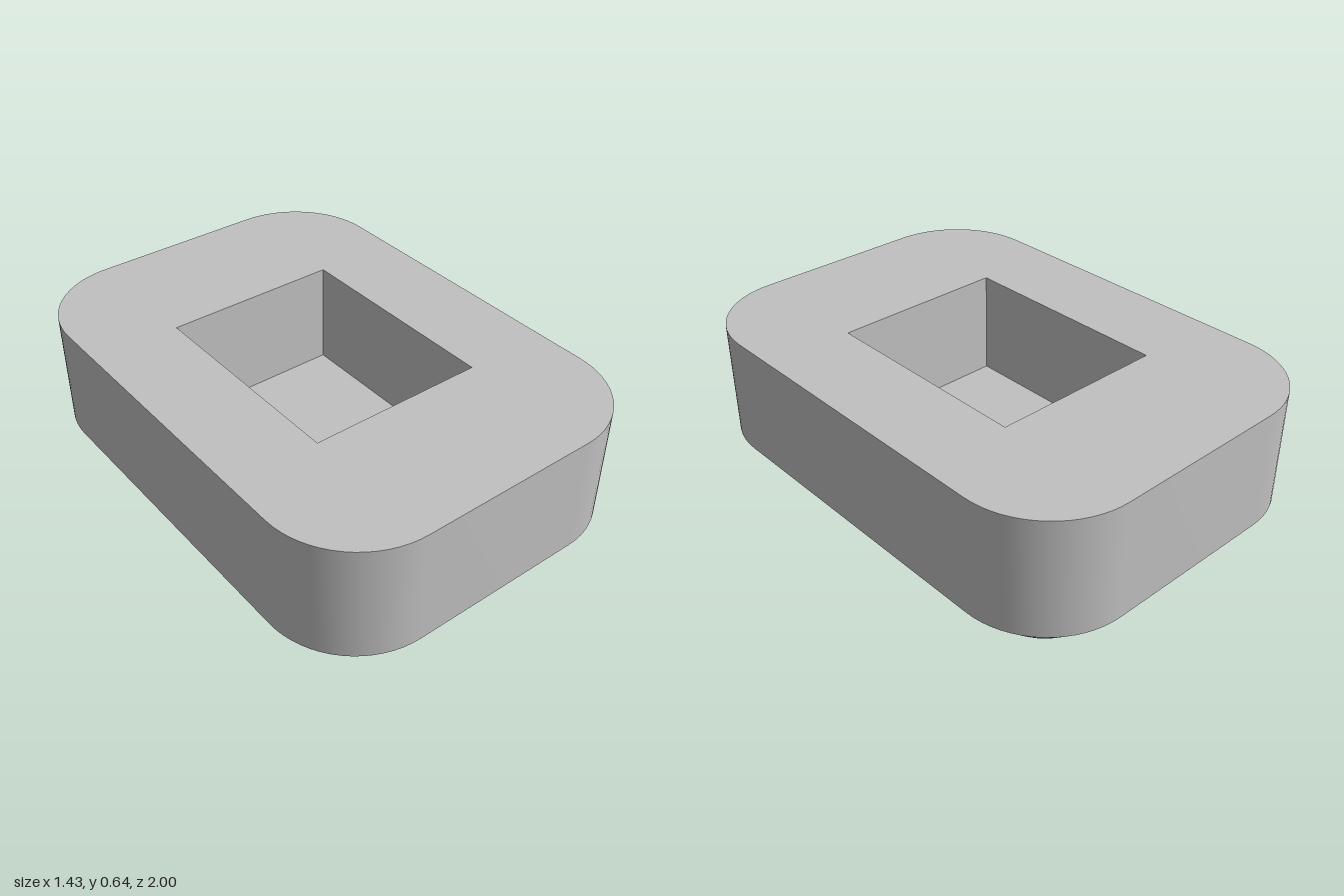
import * as THREE from 'three';
import { toCreasedNormals } from 'three/addons/utils/BufferGeometryUtils.js';

const HALF_X = 0.714, HALF_Z = 1, RADIUS = 0.357, TOP = 0.643;
const CHAMFER = 0.171, GROOVE_TOP = 0.1, POCKET_FLOOR = 0.214;
const POCKET_X = 0.357, POCKET_Z = 0.443;
const CX = HALF_X - RADIUS, CZ = HALF_Z - RADIUS; // corner centres
const TOOTH = 0.1714; // tooth and groove width
const STEPS = 16;

// Rounded corner points [x, z] from angle a to angle b
function arc(cx, cz, r, a, b) {
  return Array.from({ length: STEPS + 1 }, (_, i) => {
    const t = a + ((b - a) * i) / STEPS;
    return [cx + r * Math.cos(t), cz + r * Math.sin(t)];
  });
}

// Rounded rectangle moved inwards by d
function outline(d) {
  const q = Math.PI / 2, r = RADIUS - d;
  return [[1, 1], [-1, 1], [-1, -1], [1, -1]].flatMap(([sx, sz], i) =>
    arc(sx * CX, sz * CZ, r, i * q, (i + 1) * q));
}

const rectangle = (x, z0, z1) => [[x, z0], [x, z1], [-x, z1], [-x, z0]];
const insetAt = (y) => Math.max(0, CHAMFER - y);

// Walls through closed rings { y, points }, listed upwards, with a cap on the first
function loft(rings) {
  const n = rings[0].points.length, position = [], index = [];
  for (const { y, points } of rings) for (const [x, z] of points) position.push(x, y, z);
  for (let k = 0; k < rings.length - 1; k++) {
    for (let i = 0; i < n; i++) {
      const a = k * n + i, b = k * n + ((i + 1) % n);
      index.push(a, a + n, b + n, a, b + n, b);
    }
  }
  for (let i = 1; i < n - 1; i++) index.push(0, i, i + 1);
  const geometry = new THREE.BufferGeometry();
  geometry.setAttribute('position', new THREE.Float32BufferAttribute(position, 3));
  geometry.setIndex(index);
  return toCreasedNormals(geometry, 0.5);
}

export function createModel() {
  const group = new THREE.Group();
  const grey = new THREE.MeshStandardMaterial({ color: 0xc0c0c0 });
  grey.name = 'grey';
  const add = (name, geometry) => {
    const mesh = new THREE.Mesh(geometry, grey);
    mesh.name = name;
    group.add(mesh);
    return mesh;
  };

  // Outer wall, upper part of the chamfer and groove ceilings
  add('body', loft([GROOVE_TOP, CHAMFER, TOP].map((y) => ({ y, points: outline(insetAt(y)) }))));

  // Top face with the pocket opening
  const toVectors = (points) => points.map(([x, z]) => new THREE.Vector2(x, z));
  const pocket = rectangle(POCKET_X, -POCKET_Z, POCKET_Z);
  const face = new THREE.Shape(toVectors(outline(0)));
  face.holes.push(new THREE.Path(toVectors(pocket)));
  add('topFace', new THREE.ShapeGeometry(face).rotateX(-Math.PI / 2).translate(0, TOP, 0));

  // Pocket walls and floor, facing inwards
  const inward = [...pocket].reverse();
  add('pocket', loft([POCKET_FLOOR, TOP].map((y) => ({ y, points: inward }))));

  // Straight teeth with sloping ends
  for (const k of [-1.5, -0.5, 0.5, 1.5]) {
    const z = k * 2 * TOOTH;
    add('tooth', loft([0, GROOVE_TOP].map((y) => ({
      y, points: rectangle(HALF_X - insetAt(y), z - TOOTH / 2, z + TOOTH / 2),
    }))));
  }

  // End teeth: the rounded chamfer cut off by the outermost groove
  const cut = 4.5 * TOOTH;
  const levels = Array.from({ length: 7 }, (_, i) => (GROOVE_TOP * i) / 6);
  const endTooth = loft(levels.map((y) => {
    const r = RADIUS - insetAt(y), a = Math.asin((cut - CZ) / r);
    return {
      y,
      points: [...arc(CX, CZ, r, a, Math.PI / 2), ...arc(-CX, CZ, r, Math.PI / 2, Math.PI - a)],
    };
  }));
  add('frontEndTooth', endTooth);
  add('backEndTooth', endTooth).rotation.y = Math.PI;

  return group;
}
